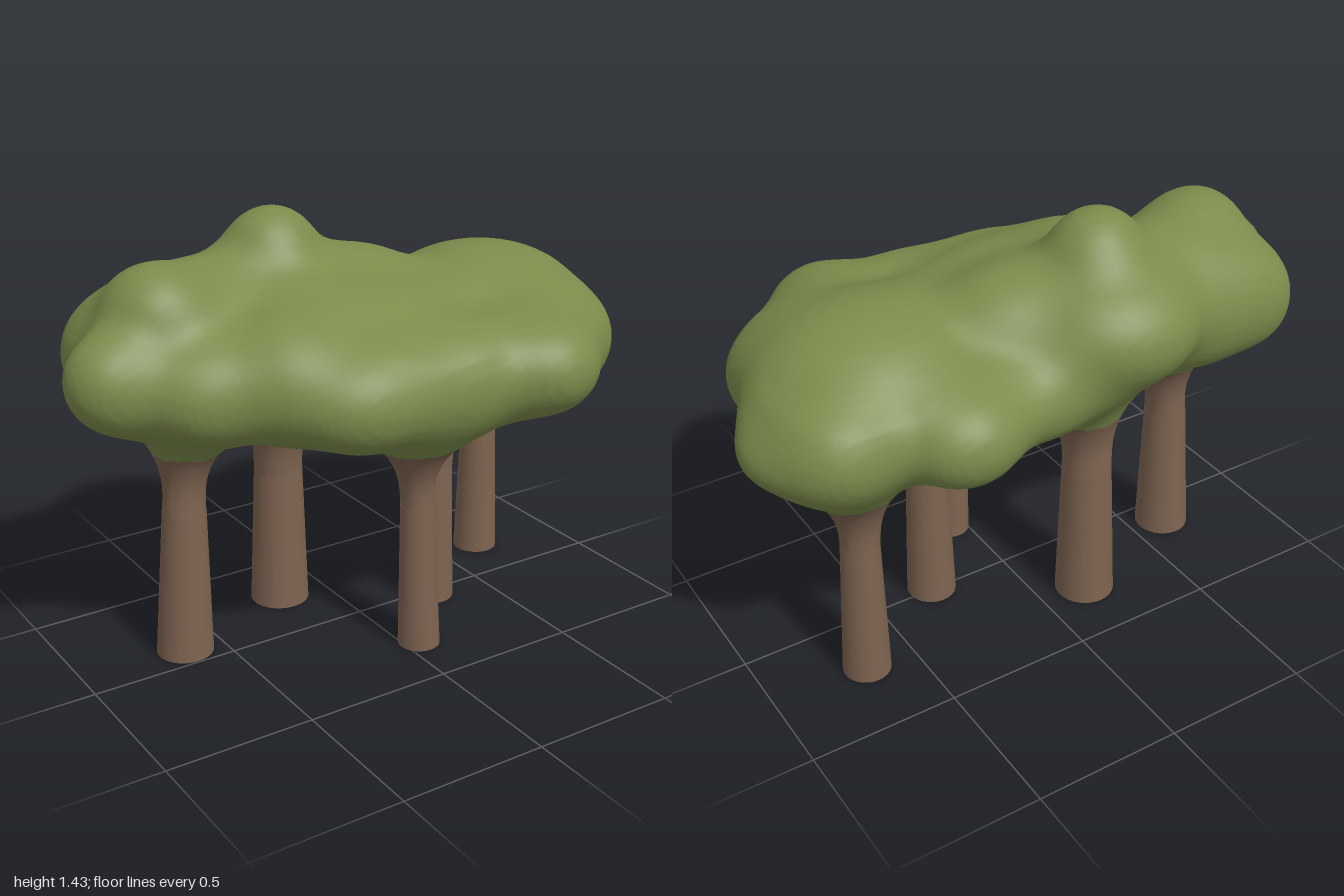
import * as THREE from 'three';

const leafMat = new THREE.MeshStandardMaterial({ color: 0x7b8b4b });
const barkMat = new THREE.MeshStandardMaterial({ color: 0x7d6350 });

// Foliage lumps: centre x, y, z, then radii x, y, z
const LUMPS = [
  [0.00, 0.97, 0.04, 0.52, 0.23, 0.37],    // core
  [-0.40, 0.94, -0.08, 0.34, 0.18, 0.26],  // low right middle
  [-0.15, 1.04, 0.03, 0.42, 0.19, 0.26],   // raised middle
  [0.52, 0.98, -0.06, 0.41, 0.27, 0.37],   // left crown
  [0.40, 0.94, -0.40, 0.21, 0.17, 0.20],
  [0.81, 0.91, -0.17, 0.20, 0.14, 0.19],
  [0.75, 0.94, -0.30, 0.17, 0.16, 0.17],
  [0.65, 0.94, 0.19, 0.23, 0.19, 0.19],
  [0.10, 0.95, -0.31, 0.30, 0.18, 0.21],   // back fill
  [0.42, 0.96, 0.41, 0.20, 0.17, 0.20],    // front corner
  [0.50, 0.94, 0.26, 0.24, 0.19, 0.22],
  [0.15, 0.94, 0.35, 0.28, 0.19, 0.18],
  [-0.18, 0.94, 0.33, 0.26, 0.18, 0.19],
  [-0.38, 0.98, 0.18, 0.20, 0.19, 0.18],
  [-0.20, 1.09, -0.26, 0.33, 0.23, 0.33],  // tall crown
  [-0.20, 1.29, -0.22, 0.16, 0.15, 0.15],
  [-0.45, 1.13, -0.20, 0.20, 0.17, 0.17],
  [0.08, 1.12, -0.16, 0.22, 0.16, 0.18],
  [-0.62, 1.08, -0.16, 0.25, 0.22, 0.25],  // right crown
  [-0.68, 1.20, -0.11, 0.14, 0.13, 0.14],
  [-0.88, 1.02, -0.05, 0.13, 0.14, 0.13],
  [-0.79, 0.98, -0.03, 0.16, 0.15, 0.13],
  [-0.75, 1.01, -0.31, 0.16, 0.18, 0.15],
  [-0.55, 1.02, -0.30, 0.24, 0.20, 0.17],
  [-0.60, 0.96, 0.10, 0.18, 0.16, 0.15],
];

// Trunks: base x, z, radius, then x, z, radius at the neck
const TRUNKS = [
  [-0.63, -0.10, 0.095, -0.603, -0.11, 0.068],
  [-0.172, -0.26, 0.102, -0.182, -0.235, 0.08],
  [0.055, 0.28, 0.071, 0.052, 0.26, 0.053],
  [0.285, 0.015, 0.085, 0.30, 0.0, 0.066],
  [0.665, -0.22, 0.08, 0.658, -0.21, 0.06],
];
const NECK = 0.6;

// Centre and radius of a trunk at height y
function trunkAt([x, z, r, nx, nz, nr], y) {
  const t = Math.min(y / NECK, 1);
  return [x + (nx - x) * t, z + (nz - z) * t, r + (nr - r) * t];
}

function blend(a, b, k) {
  const h = Math.max(k - Math.abs(a - b), 0) / k;
  return Math.min(a, b) - h * h * k / 4;
}

// Signed distance to the foliage blended with the trunk tops
function distance(x, y, z) {
  let d = 9;
  for (const [cx, cy, cz, rx, ry, rz] of LUMPS) {
    const px = (x - cx) / rx, py = (y - cy) / ry, pz = (z - cz) / rz;
    const k0 = Math.hypot(px, py, pz);
    const k1 = Math.hypot(px / rx, py / ry, pz / rz) + 1e-9;
    d = blend(d, k0 * (k0 - 1) / k1, 0.11);
  }
  d += 0.01;
  for (const t of TRUNKS) {
    const [cx, cz, r] = trunkAt(t, y);
    d = blend(d, Math.max(Math.hypot(x - cx, z - cz) - r, y - 0.88), 0.25);
  }
  return d;
}

// Skin the distance field with one vertex per crossed grid cell
function skin(h, origin, size) {
  const n = size.map(s => Math.ceil(s / h) + 1);
  const step = [1, n[0], n[0] * n[1]];
  const val = new Float32Array(n[0] * n[1] * n[2]);
  const at = (i, j, k) => i + j * step[1] + k * step[2];
  const each = (from, drop, fn) => {
    for (let k = from; k < n[2] - drop; k++)
      for (let j = from; j < n[1] - drop; j++)
        for (let i = from; i < n[0] - drop; i++) fn(i, j, k, at(i, j, k));
  };
  each(0, 0, (i, j, k, id) => {
    val[id] = distance(origin[0] + i * h, origin[1] + j * h, origin[2] + k * h);
  });

  const pos = [], cell = new Map();
  each(0, 1, (i, j, k, id) => {
    const sum = [0, 0, 0];
    let hits = 0;
    for (let c = 0; c < 8; c++) {
      const o = [c & 1, (c >> 1) & 1, c >> 2];
      const a = val[id + at(...o)];
      for (let ax = 0; ax < 3; ax++) {
        if (o[ax]) continue;
        const b = val[id + at(...o) + step[ax]];
        if ((a < 0) === (b < 0)) continue;
        o.forEach((v, m) => { sum[m] += v + (m === ax ? a / (a - b) : 0); });
        hits++;
      }
    }
    if (!hits) return;
    cell.set(id, pos.length / 3);
    [i, j, k].forEach((v, m) => pos.push(origin[m] + (v + sum[m] / hits) * h));
  });

  const index = [];
  each(1, 1, (i, j, k, id) => {
    for (let ax = 0; ax < 3; ax++) {
      const inside = val[id] < 0;
      if (inside === (val[id + step[ax]] < 0)) continue;
      const b = step[(ax + 1) % 3], c = step[(ax + 2) % 3];
      const q = [id - b - c, id - c, id, id - b].map(m => cell.get(m));
      if (!inside) q.reverse();
      index.push(q[0], q[1], q[2], q[0], q[2], q[3]);
    }
  });
  const g = new THREE.BufferGeometry();
  g.setAttribute('position', new THREE.Float32BufferAttribute(pos, 3));
  g.setIndex(index);
  g.computeVertexNormals();
  return g;
}

// Keep the triangles whose lowest corner passes a height test
function pick(g, test) {
  const out = g.clone(), src = g.index.array, keep = [];
  const y = i => g.attributes.position.getY(src[i]);
  for (let i = 0; i < src.length; i += 3)
    if (test(Math.min(y(i), y(i + 1), y(i + 2)))) keep.push(src[i], src[i + 1], src[i + 2]);
  out.setIndex(keep);
  return out;
}

// Leaning, tapering trunk below the neck
function trunkGeometry(t, top) {
  const [bx, bz, br] = trunkAt(t, 0), [tx, tz, tr] = trunkAt(t, top);
  const g = new THREE.CylinderGeometry(tr, br, top, 28);
  g.translate(0, top / 2, 0);
  const p = g.attributes.position;
  for (let i = 0; i < p.count; i++) {
    const s = p.getY(i) / top;
    p.setX(i, p.getX(i) + bx + (tx - bx) * s);
    p.setZ(i, p.getZ(i) + bz + (tz - bz) * s);
  }
  return g;
}

export function createModel() {
  const group = new THREE.Group();
  const add = (name, geo, mat) => {
    const m = new THREE.Mesh(geo, mat);
    m.name = name;
    group.add(m);
  };
  // Canopy and trunk tops share one smooth skin, coloured by height
  const top = skin(0.02, [-1.09, 0.49, -0.69], [2.18, 1.02, 1.38]);
  add('canopy', pick(top, y => y > 0.71), leafMat);
  add('trunkNecks', pick(top, y => y <= 0.71), barkMat);
  TRUNKS.forEach((t, i) => add(`trunk${i + 1}`, trunkGeometry(t, 0.505), barkMat));
  return group;
}
